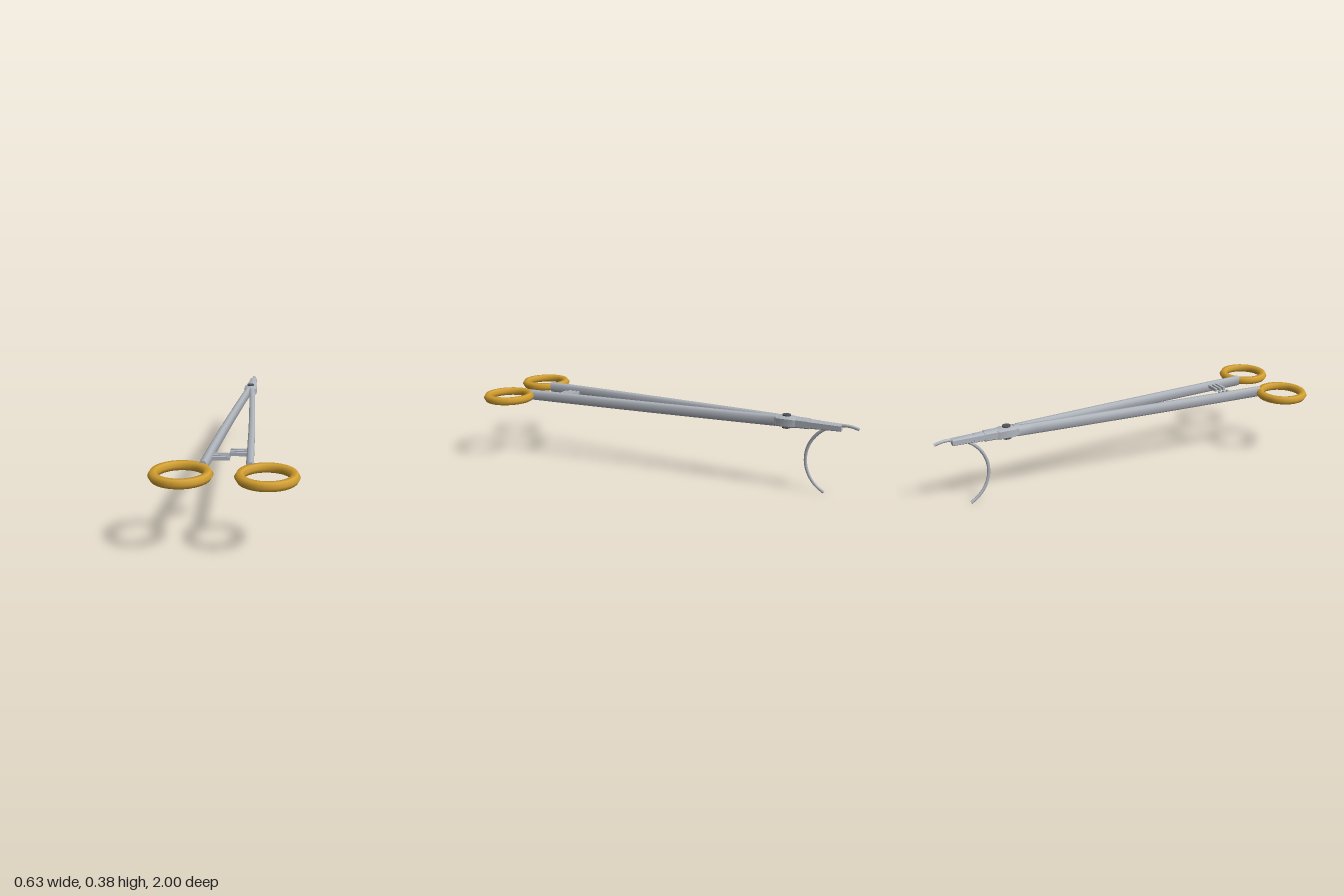
import * as THREE from 'three';
import { toCreasedNormals } from 'three/addons/utils/BufferGeometryUtils.js';

const Y = 0.345; // height of the instrument's mid plane

function material(name, color) {
  const m = new THREE.MeshStandardMaterial({ color });
  m.name = name;
  return m;
}

// Sweeps an eight-sided chamfered section through stations [x, z, halfWidth, halfHeight, y],
// ordered from front (+z) to back (-z), and closes both ends.
function loft(stations, crease = 0.9) {
  const section = [[1, -0.65], [1, 0.65], [0.5, 1], [-0.5, 1], [-1, 0.65], [-1, -0.65], [-0.5, -1], [0.5, -1]];
  const n = section.length;
  const positions = [];
  const index = [];
  for (const [x, z, w, h, y = Y] of stations) {
    for (const [u, v] of section) positions.push(x + u * w, y + v * h, z);
  }
  for (let i = 0; i < stations.length - 1; i++) {
    for (let j = 0; j < n; j++) {
      const a = i * n + j;
      const b = i * n + (j + 1) % n;
      index.push(a, a + n, b + n, a, b + n, b);
    }
  }
  const last = (stations.length - 1) * n;
  for (let j = 1; j < n - 1; j++) {
    index.push(0, j, j + 1, last, last + j + 1, last + j);
  }
  const g = new THREE.BufferGeometry();
  g.setAttribute('position', new THREE.Float32BufferAttribute(positions, 3));
  g.setIndex(index);
  return toCreasedNormals(g, crease);
}

export function createModel() {
  const steel = material('brushed steel', 0xb0b5bd);
  const gold = material('gold plating', 0xd4a030);
  const dark = material('dark screw metal', 0x50545a);

  const model = new THREE.Group();
  model.name = 'needleHolder';
  const add = (name, geometry, mat, x = 0, y = 0, z = 0) => {
    const mesh = new THREE.Mesh(geometry, mat);
    mesh.name = name;
    mesh.position.set(x, y, z);
    model.add(mesh);
    return mesh;
  };

  for (const [side, s] of [['left', 1], ['right', -1]]) {
    // Finger ring
    const ring = new THREE.TorusGeometry(0.114, 0.022, 6, 28).rotateX(Math.PI / 2);
    add(side + 'FingerRing', ring, gold, s * 0.179, Y - 0.001, 0.863);

    // Long arm, bowing gently inward to the pivot
    const arm = [[0.1, 0.77], [0.088, 0.55], [0.071, 0.25], [0.055, 0], [0.041, -0.2],
      [0.027, -0.4], [0.018, -0.51], [0.011, -0.6]];
    add(side + 'Arm', loft(arm.map(([x, z]) => [s * x, z, 0.016, 0.0265]), 1.0), steel);

    // Ratchet teeth: the two sides are staggered in height and depth
    for (let i = 0; i < 3; i++) {
      add(side + 'RatchetTooth', new THREE.BoxGeometry(0.078, 0.016, 0.013), steel,
        s * 0.038, Y + s * 0.008, (s > 0 ? 0.558 : 0.576) + i * 0.025);
    }
  }

  // Collar where the arms meet, then the box lock
  add('collar', loft([[0, -0.575, 0.022, 0.025], [0, -0.59, 0.027, 0.027], [0, -0.615, 0.029, 0.027]]), steel);
  add('boxLock', loft([[0, -0.605, 0.028, 0.023], [0, -0.62, 0.036, 0.027],
    [0, -0.685, 0.036, 0.027], [0, -0.7, 0.03, 0.024]]), steel);

  // Pivot screw with a head on both faces
  add('pivotScrew', new THREE.CylinderGeometry(0.012, 0.012, 0.062, 12), dark, 0, Y, -0.65);
  for (const s of [1, -1]) {
    add('screwHead', new THREE.CylinderGeometry(0.021, 0.021, 0.006, 12), dark, 0, Y + s * 0.031, -0.65);
  }

  // Stepped jaws narrowing to the tip
  add('jawBase', loft([[0, -0.695, 0.028, 0.025], [0, -0.765, 0.026, 0.024]]), steel);
  add('jawMiddle', loft([[0, -0.765, 0.024, 0.021], [0, -0.815, 0.024, 0.02]]), steel);
  add('jawTip', loft([[0, -0.815, 0.022, 0.019], [0, -0.918, 0.02, 0.017]]), steel);

  // Curved needle gripped across the jaw tip
  const start = THREE.MathUtils.degToRad(109.5);
  const end = THREE.MathUtils.degToRad(-63);
  const points = [];
  for (let i = 0; i <= 16; i++) {
    const a = start + (end - start) * i / 16;
    points.push(new THREE.Vector3(0, 0.172 + 0.185 * Math.sin(a), -0.938 + 0.185 * Math.cos(a)));
  }
  const curve = new THREE.CatmullRomCurve3(points);
  add('needle', new THREE.TubeGeometry(curve, 32, 0.008, 8), steel);
  for (const [t, dir] of [[0, -1], [1, 1]]) {
    const p = curve.getPoint(t);
    const cap = add('needleEnd', new THREE.CircleGeometry(0.008, 8), steel, p.x, p.y, p.z);
    cap.lookAt(p.clone().addScaledVector(curve.getTangent(t), dir));
  }

  return model;
}
